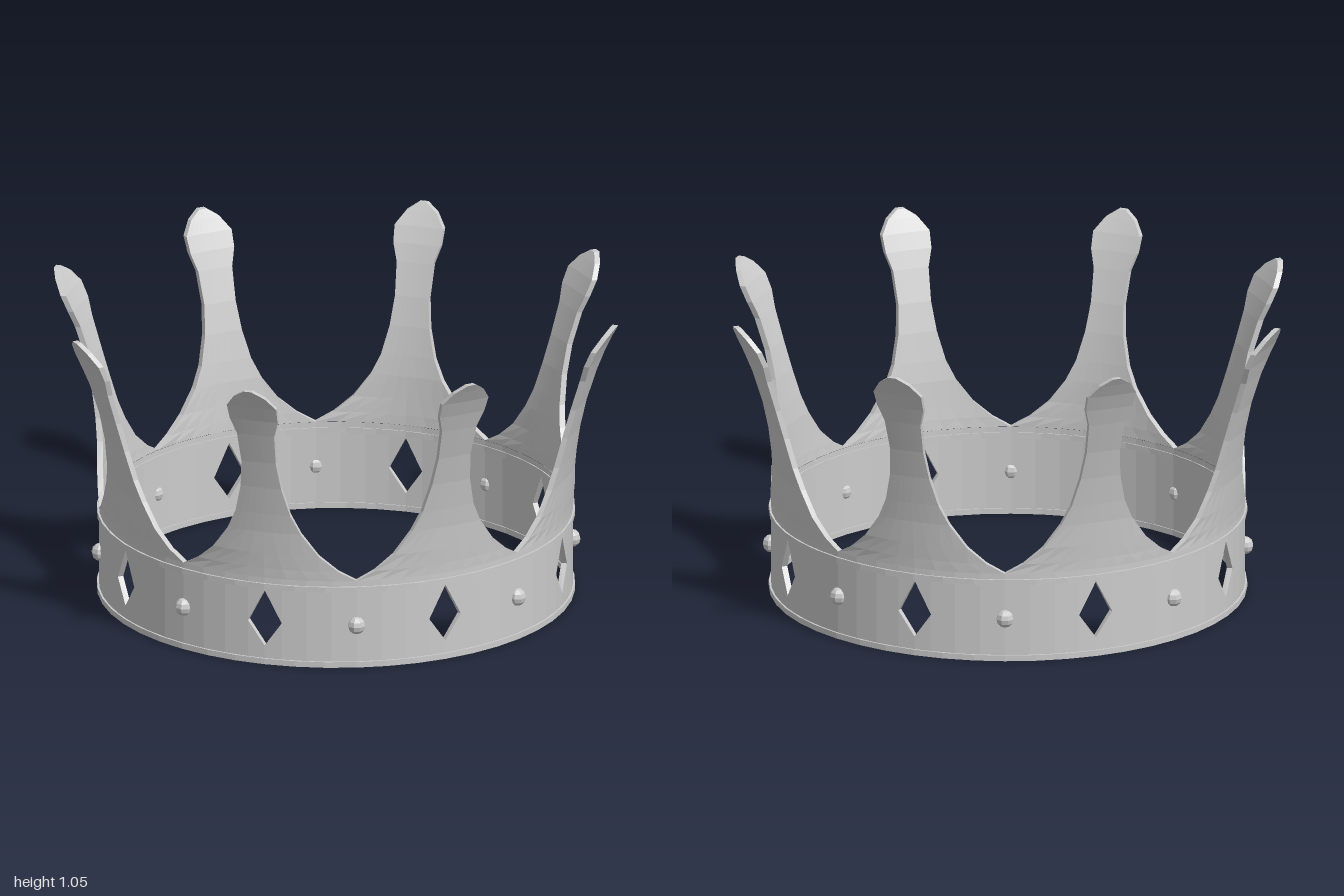
import * as THREE from 'three';

const POINTS = 8, STEP = Math.PI / 4, HALF = STEP / 2;
const R = 0.805, THICK = 0.02, VALLEY = 0.31;
const HOLE = { angle: 0.075, low: 0.065, mid: 0.15, high: 0.265 };

// Spike cross-sections from valley to tip: [height, outer radius, half width]
const SPIKE = [
  [VALLEY, 0.806, 0.308], [0.345, 0.808, 0.25], [0.4, 0.813, 0.188], [0.48, 0.82, 0.13],
  [0.55, 0.831, 0.097], [0.65, 0.85, 0.072], [0.75, 0.875, 0.061], [0.86, 0.91, 0.066],
  [0.92, 0.932, 0.085], [0.975, 0.957, 0.088], [1.02, 0.983, 0.055], [1.047, 1.0, 0.014],
];

const material = new THREE.MeshStandardMaterial({ color: 0xcccccc, flatShading: true });

// Thick curved sheet: at(i, j) gives [angle, radius, height]; walls lists the edges to close
function sheet(nu, nv, at, walls) {
  const pos = [];
  const point = (i, j, inner) => {
    const [a, r, y] = at(i, j);
    const q = r - (inner ? THICK : 0);
    return [q * Math.sin(a), y, q * Math.cos(a)];
  };
  const quad = (a, b, c, d) => pos.push(...a, ...b, ...c, ...a, ...c, ...d);
  for (let i = 0; i < nu; i++) {
    for (let j = 0; j < nv; j++) {
      quad(point(i, j), point(i + 1, j), point(i + 1, j + 1), point(i, j + 1));
      quad(point(i + 1, j, 1), point(i, j, 1), point(i, j + 1, 1), point(i + 1, j + 1, 1));
    }
    if (walls.includes('low')) quad(point(i, 0, 1), point(i + 1, 0, 1), point(i + 1, 0), point(i, 0));
    if (walls.includes('high')) quad(point(i, nv), point(i + 1, nv), point(i + 1, nv, 1), point(i, nv, 1));
  }
  if (walls.includes('sides')) {
    for (let j = 0; j < nv; j++) {
      quad(point(nu, j), point(nu, j, 1), point(nu, j + 1, 1), point(nu, j + 1));
      quad(point(0, j, 1), point(0, j), point(0, j + 1), point(0, j + 1, 1));
    }
  }
  const geometry = new THREE.BufferGeometry();
  geometry.setAttribute('position', new THREE.Float32BufferAttribute(pos, 3));
  geometry.computeVertexNormals();
  return geometry;
}

function add(parent, name, geometry) {
  const mesh = new THREE.Mesh(geometry, material);
  mesh.name = name;
  parent.add(mesh);
  return mesh;
}

// Solid band panel between two angles
const panel = (from, to) =>
  sheet(3, 1, (i, j) => [from + (to - from) * i / 3, R, j * VALLEY], ['low']);

// Rectangular hoop around the band
function hoop(low, high) {
  const profile = [[0.782, low], [0.812, low], [0.812, high], [0.782, high], [0.782, low]];
  return new THREE.LatheGeometry(profile.map(p => new THREE.Vector2(...p)), 48);
}

export function createModel() {
  const crown = new THREE.Group();
  crown.name = 'crown';

  const leftPanel = panel(HOLE.angle, HALF);
  const rightPanel = panel(-HALF, -HOLE.angle);

  // Band parts below and above the diamond window
  const angle = i => (i - 1) * HOLE.angle;
  const below = sheet(2, 1, (i, j) =>
    [angle(i), R, j ? (i === 1 ? HOLE.low : HOLE.mid) : 0], ['low', 'high']);
  const above = sheet(2, 1, (i, j) =>
    [angle(i), R, j ? VALLEY : (i === 1 ? HOLE.high : HOLE.mid)], ['low']);

  // Flared spike with a rounded head
  const spike = sheet(8, SPIKE.length - 1, (i, j) => {
    const [y, r, w] = SPIKE[j];
    const half = j ? Math.asin(w / r) : HALF;
    return [(i / 4 - 1) * half, r, y];
  }, ['high', 'sides']);

  const stud = new THREE.SphereGeometry(0.031, 8, 6);

  for (let k = 0; k < POINTS; k++) {
    const section = new THREE.Group();
    section.name = 'section';
    section.rotation.y = k * STEP;
    add(section, 'bandLeft', leftPanel);
    add(section, 'bandRight', rightPanel);
    add(section, 'bandBelowWindow', below);
    add(section, 'bandAboveWindow', above);
    add(section, 'spike', spike);
    add(section, 'stud', stud).position.set(0.803 * Math.sin(HALF), 0.15, 0.803 * Math.cos(HALF));
    crown.add(section);
  }

  // Raised rims along the band
  add(crown, 'lowerRim', hoop(0, 0.02));
  add(crown, 'upperRim', hoop(0.27, 0.29));
  return crown;
}
